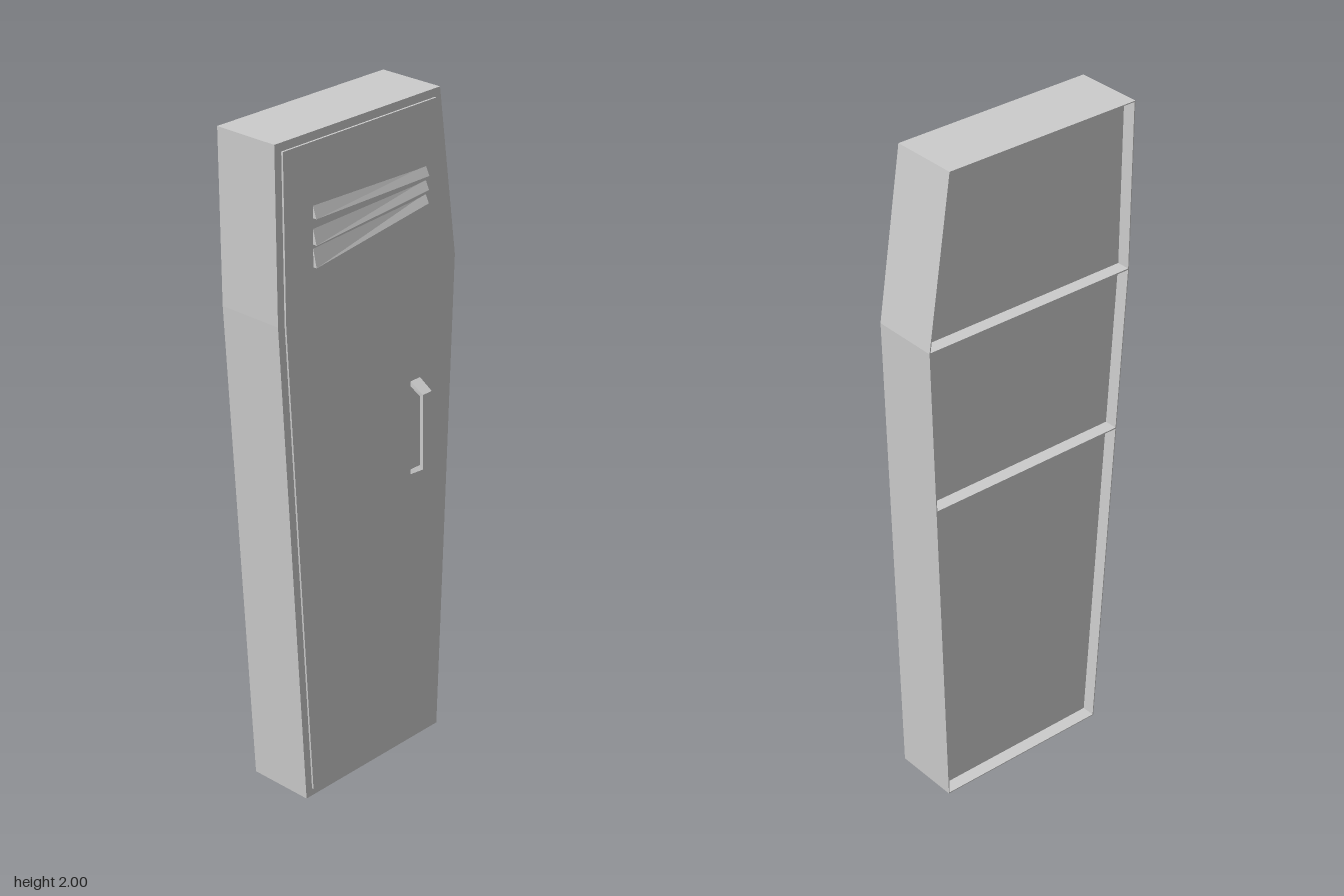
import * as THREE from 'three';

const grey = new THREE.MeshStandardMaterial({ color: 0xcccccc, flatShading: true, side: THREE.DoubleSide });

// Skewed cabinet outline, counter-clockwise: u runs along -z, v along y
const OUTLINE = [[-0.252, 0], [0.305, 0], [0.348, 1.5], [0.275, 2], [-0.348, 2], [-0.343, 1.5]]
  .map(([u, v]) => new THREE.Vector2(u, v));

// Move every edge of the outline inwards by d
function inset(pts, d) {
  return pts.map((p, i) => {
    const a = p.clone().sub(pts[(i + pts.length - 1) % pts.length]).normalize();
    const b = pts[(i + 1) % pts.length].clone().sub(p).normalize();
    const na = new THREE.Vector2(-a.y, a.x), nb = new THREE.Vector2(-b.y, b.x);
    return p.clone().add(na.clone().add(nb).multiplyScalar(d / (1 + na.dot(nb))));
  });
}

// Extrude an outline from x0 to x1
function slab(pts, x0, x1, hole) {
  const shape = new THREE.Shape(pts);
  if (hole) shape.holes.push(new THREE.Path(hole));
  const g = new THREE.ExtrudeGeometry(shape, { depth: x1 - x0, bevelEnabled: false });
  return g.rotateY(Math.PI / 2).translate(x0, 0, 0);
}

// Join cross-sections into a closed solid
function loft(sections) {
  const pos = [], n = sections[0].length;
  const tri = (...ps) => ps.forEach(p => pos.push(...p));
  for (let i = 0; i < sections.length - 1; i++) {
    for (let j = 0; j < n; j++) {
      const k = (j + 1) % n, s = sections[i], t = sections[i + 1];
      tri(s[j], t[j], t[k]);
      tri(s[j], t[k], s[k]);
    }
  }
  const first = sections[0], last = sections[sections.length - 1];
  for (let j = 1; j < n - 1; j++) {
    tri(first[0], first[j], first[j + 1]);
    tri(last[0], last[j + 1], last[j]);
  }
  const g = new THREE.BufferGeometry();
  g.setAttribute('position', new THREE.Float32BufferAttribute(pos, 3));
  g.computeVertexNormals();
  return g;
}

export function createModel() {
  const model = new THREE.Group();
  const add = (name, geometry) => {
    const mesh = new THREE.Mesh(geometry, grey);
    mesh.name = name;
    model.add(mesh);
    return mesh;
  };

  // Cabinet with a shallow open recess in its -x side
  add('cabinetBody', slab(OUTLINE, -0.09, 0.075));
  add('recessRim', slab(OUTLINE, -0.13, -0.09, inset(OUTLINE, 0.003)));

  // Slightly raised door
  add('door', slab(inset(OUTLINE, 0.024), 0.075, 0.081));

  // Thin shelves crossing the recess
  for (const y of [1, 1.5]) {
    const t = y / 1.5;
    const u0 = THREE.MathUtils.lerp(-0.252, -0.343, t) + 0.002;
    const u1 = THREE.MathUtils.lerp(0.305, 0.348, t) - 0.002;
    add('shelf', new THREE.BoxGeometry(0.04, 0.004, u1 - u0))
      .position.set(-0.11, y, -(u0 + u1) / 2);
  }

  // Wedge-shaped vents fanning out: [top, bottom] at the +z end, then at the -z end
  const vents = [
    [1.805, 1.768, 1.795, 1.768],
    [1.742, 1.695, 1.755, 1.728],
    [1.688, 1.632, 1.715, 1.69],
  ];
  for (const [t0, b0, t1, b1] of vents) {
    const wedge = (top, bottom, z) => [[0.08, top, z], [0.08, bottom, z], [0.093, bottom, z]];
    add('vent', loft([wedge(t0, b0, 0.217), wedge(t1, b1, -0.217)]));
  }

  // Bracket handle, wider towards the bottom: outer x, y, inner x, y, z range
  const handle = [
    [0.08, 1.177, 0.08, 1.162, -0.165, -0.204],
    [0.125, 1.148, 0.114, 1.14, -0.168, -0.204],
    [0.125, 0.916, 0.114, 0.924, -0.172, -0.245],
    [0.08, 0.886, 0.08, 0.901, -0.17, -0.251],
  ].map(([xo, yo, xi, yi, za, zb]) => [[xo, yo, za], [xo, yo, zb], [xi, yi, zb], [xi, yi, za]]);
  add('handle', loft(handle));

  return model;
}
